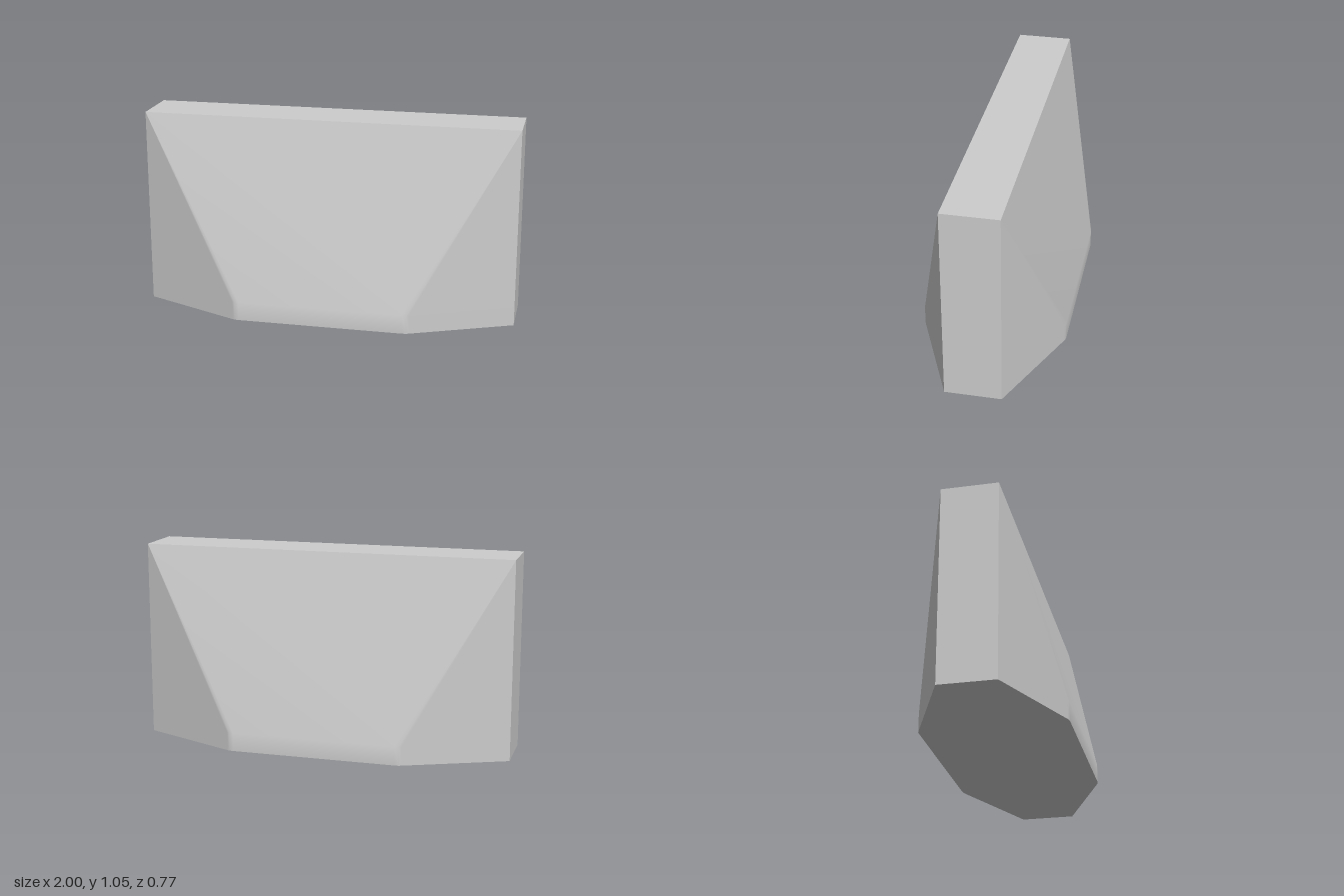
import * as THREE from 'three';

const HEIGHT = 1.055, HALF = 0.147;

// Half outline at the foot, from the outer edge to the softened corner: [x, z]
const corner = [[1, HALF], [0.475, 0.376], [0.462, 0.381], [0.44, 0.383]];
const outline = [...corner, ...corner.slice().reverse().map(([x, z]) => [-x, z])];

// Sloping face: a short upright foot, then tapering to the straight top edge
function slopeGeometry() {
  const n = outline.length;
  const positions = [], index = [];
  for (const y of [0, 0.1, HEIGHT]) {
    for (const [x, z] of outline) {
      if (y === HEIGHT) positions.push(Math.sign(x), y, HALF);
      else positions.push(x, y, z);
    }
  }
  for (let j = 0; j < 2; j++) {
    for (let i = 0; i < n - 1; i++) {
      const a = j * n + i, b = a + 1, c = b + n, d = a + n;
      index.push(a, c, b);
      // corner columns meet in a point at the top
      if (j === 0 || i === 3) index.push(a, d, c);
    }
  }
  // close the outer side triangles up to the top corners
  const g = new THREE.BufferGeometry();
  g.setAttribute('position', new THREE.Float32BufferAttribute(positions, 3));
  g.setIndex(index);
  g.computeVertexNormals();
  return g;
}

export function createModel() {
  const group = new THREE.Group();
  const grey = new THREE.MeshStandardMaterial({ color: 0xcccccc });
  grey.name = 'plain grey';

  const add = (name, geometry, parent = group) => {
    const mesh = new THREE.Mesh(geometry, grey);
    mesh.name = name;
    parent.add(mesh);
    return mesh;
  };

  // Upright slab in the middle
  add('slab', new THREE.BoxGeometry(2, HEIGHT, HALF * 2)).position.y = HEIGHT / 2;

  // Matching sloped buttress on the front and the back
  const slope = slopeGeometry();
  const base = new THREE.ShapeGeometry(
    new THREE.Shape(outline.map(([x, z]) => new THREE.Vector2(x, z)))
  ).rotateX(Math.PI / 2);
  for (const [name, turn] of [['front', 0], ['back', Math.PI]]) {
    const side = new THREE.Group();
    side.name = name + 'Buttress';
    side.rotation.y = turn;
    add(name + 'Slope', slope, side);
    add(name + 'Base', base, side);
    group.add(side);
  }
  return group;
}
